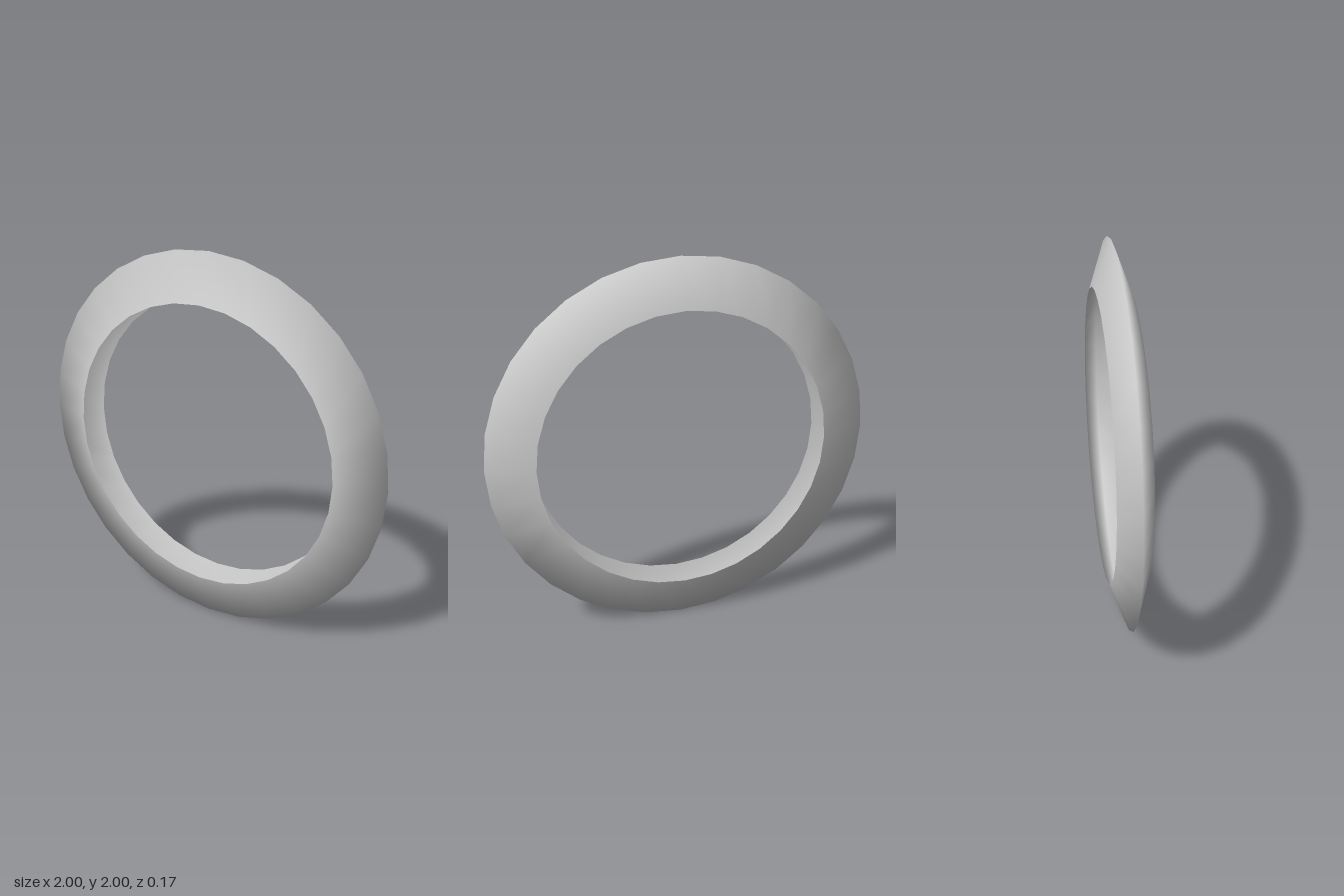
import * as THREE from 'three';

// Upright ring: a V-shaped band with a sharp outer ridge, open towards the hole
export function createModel() {
  const model = new THREE.Group();
  model.name = 'ring';

  const outerRadius = 1, innerRadius = 0.755, halfDepth = 0.087, sides = 32;

  // Cross-section from the back rim over the ridge to the front rim
  const profile = [
    new THREE.Vector2(innerRadius, -halfDepth),
    new THREE.Vector2(outerRadius, 0),
    new THREE.Vector2(innerRadius, halfDepth),
  ];
  const geometry = new THREE.LatheGeometry(profile, sides);
  geometry.rotateX(Math.PI / 2);

  const band = new THREE.Mesh(
    geometry,
    new THREE.MeshStandardMaterial({ color: 0xcccccc, side: THREE.DoubleSide })
  );
  band.name = 'ringBand';
  band.position.y = outerRadius;
  model.add(band);

  return model;
}
